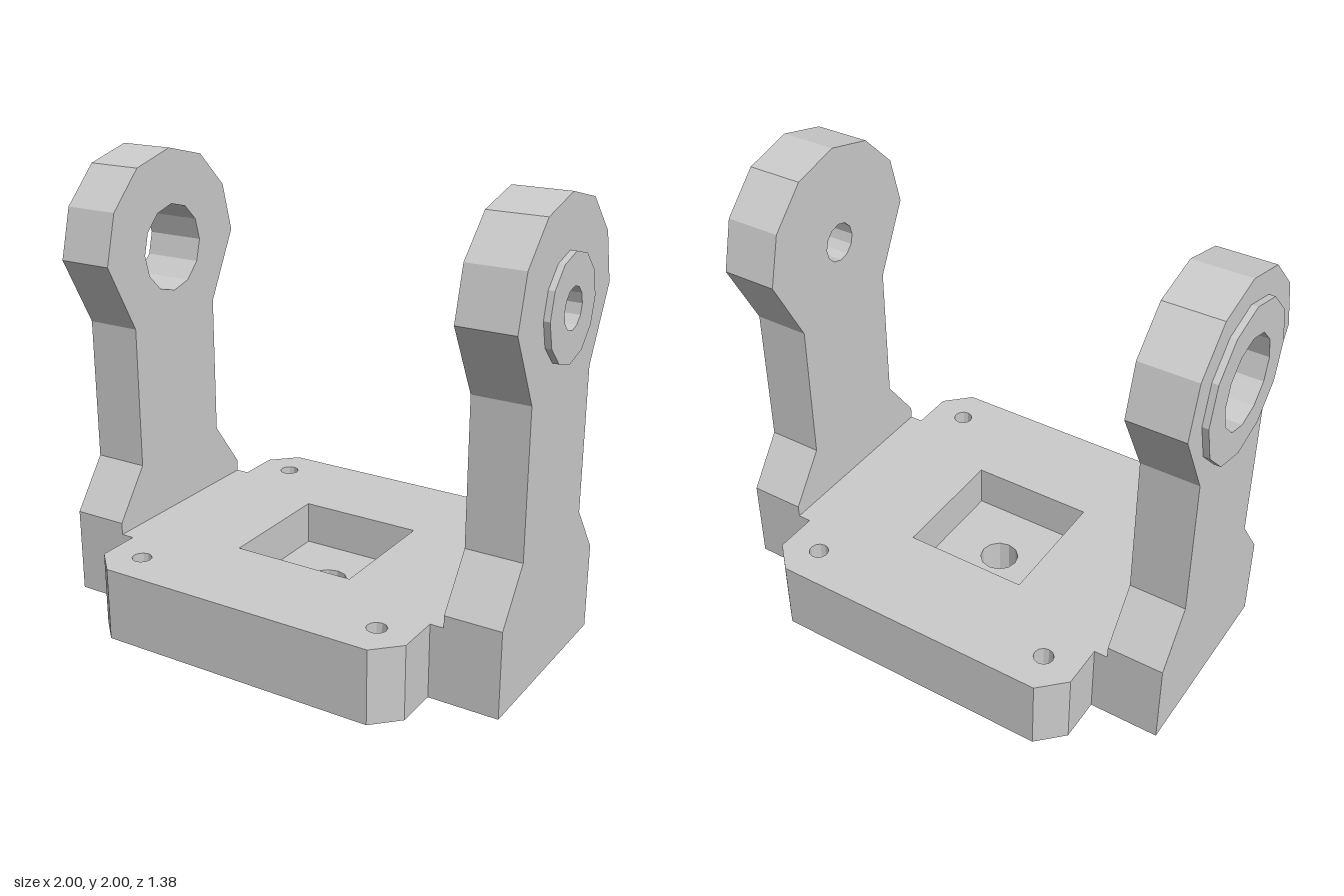
import * as THREE from 'three';

const material = new THREE.MeshStandardMaterial({ color: 0xcccccc, flatShading: true });
const V = (x, y) => new THREE.Vector2(x, y);

// Twelve-sided ring of points with corners on the axes
const ring = (r, cx = 0, cy = 0) =>
  Array.from({ length: 12 }, (_, i) => {
    const a = (i * Math.PI) / 6;
    return V(cx + r * Math.cos(a), cy + r * Math.sin(a));
  });

// Repeat a right-hand outline on the left, keeping the order around the shape
const mirrored = (pts) => [...pts, ...pts.map((p) => V(-p.x, p.y)).reverse()];

function prism(outline, holes, depth) {
  const shape = new THREE.Shape(outline);
  shape.holes = holes.map((h) => new THREE.Path(h));
  return new THREE.ExtrudeGeometry(shape, { depth, bevelEnabled: false });
}

export function createModel() {
  const model = new THREE.Group();
  model.name = 'yokeBracket';

  const add = (name, geometry) => {
    const mesh = new THREE.Mesh(geometry, material);
    mesh.name = name;
    model.add(mesh);
  };
  // Horizontal slab between two heights
  const slab = (name, outline, holes, y0, y1) =>
    add(name, prism(outline, holes, y1 - y0).rotateX(-Math.PI / 2).translate(0, y0, 0));
  // Upright slab between two x positions, drawn in the z-y plane
  const upright = (name, outline, holes, x0, x1) =>
    add(name, prism(outline, holes, x1 - x0).rotateY(Math.PI / 2).translate(x0, 0, 0));

  // Base plate with chamfered corners, screw holes, square pocket and blind bore
  const plate = mirrored([
    V(0.59, -0.69), V(0.69, -0.59), V(0.69, -0.41), V(0.745, -0.41),
    V(0.745, 0.41), V(0.69, 0.41), V(0.69, 0.59), V(0.59, 0.69),
  ]);
  const screws = [];
  for (const x of [-0.54, 0.54]) for (const z of [-0.535, 0.535]) screws.push(ring(0.04, x, z));
  const pocket = mirrored([V(0.26, -0.26), V(0.26, 0.26)]);
  const bore = ring(0.08);
  slab('plateUpper', plate, [...screws, pocket], 0.285, 0.465);
  slab('plateLower', plate, [...screws, bore], 0.16, 0.285);

  // Stepped boss under the plate
  slab('bottomBoss', ring(0.41), [bore], 0.055, 0.16);
  slab('bottomPivot', ring(0.23), [], 0, 0.055);

  // Arms: wide foot, narrow neck, rounded eye
  const eyeY = 1.595;
  const eye = ring(0.408, 0, eyeY).slice(0, 4);
  const arm = mirrored([V(0.41, 0.16), V(0.41, 0.515), V(0.26, 0.72), V(0.26, 1.31), ...eye.slice(0, 3)]);
  arm.splice(7, 0, V(0, 2));
  const smallHole = ring(0.08, 0, eyeY);
  const largeHole = ring(0.18, 0, eyeY);
  upright('leftArm', arm, [smallHole], 0.745, 0.975);
  upright('rightArm', arm, [largeHole], -0.975, -0.745);

  // Raised collars on the outer faces
  upright('leftCollar', ring(0.203, 0, eyeY), [smallHole], 0.975, 1);
  upright('rightCollar', ring(0.305, 0, eyeY), [largeHole], -1, -0.975);

  return model;
}
